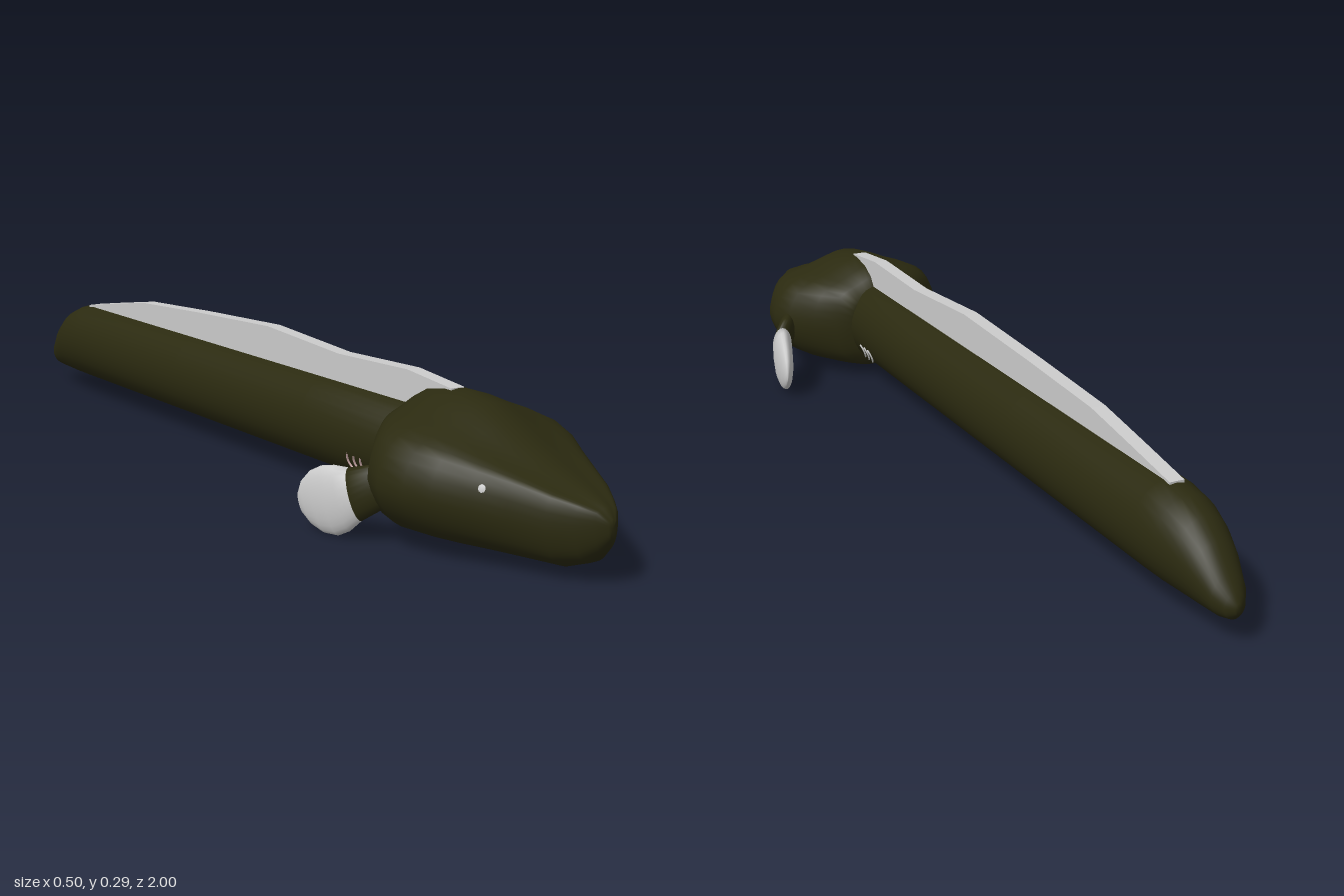
import * as THREE from 'three';

const CX = -0.014; // centre line of head and body

const dark = new THREE.MeshStandardMaterial({ color: 0x2b2a10 });
const grey = new THREE.MeshStandardMaterial({ color: 0xcccccc });
const pink = new THREE.MeshStandardMaterial({ color: 0xd8b4b4 });

// Skin a list of equal rings of Vector3 and close both ends
function loft(rings) {
  const n = rings[0].length, pos = [], idx = [];
  rings.forEach(r => r.forEach(p => pos.push(p.x, p.y, p.z)));
  for (let i = 0; i < rings.length - 1; i++)
    for (let j = 0; j < n; j++) {
      const a = i * n + j, b = i * n + (j + 1) % n;
      idx.push(a, a + n, b, b, a + n, b + n);
    }
  [0, rings.length - 1].forEach((i, end) => {
    const c = new THREE.Vector3();
    rings[i].forEach(p => c.addScaledVector(p, 1 / n));
    const k = pos.length / 3;
    pos.push(c.x, c.y, c.z);
    for (let j = 0; j < n; j++) {
      const a = i * n + j, b = i * n + (j + 1) % n;
      if (end) idx.push(k, b, a); else idx.push(k, a, b);
    }
  });
  const g = new THREE.BufferGeometry();
  g.setAttribute('position', new THREE.Float32BufferAttribute(pos, 3));
  g.setIndex(idx);
  g.computeVertexNormals();
  return g;
}

// Elliptical ring around c, spanned by e1 and e2
function ellipse(c, e1, e2, r1, r2, n = 28) {
  return Array.from({ length: n }, (_, j) => {
    const a = j / n * Math.PI * 2;
    return c.clone().addScaledVector(e1, Math.cos(a) * r1).addScaledVector(e2, Math.sin(a) * r2);
  });
}

// Head section: flat chin, bulging cheeks, shoulder, then a ridge on top
function headRing([z, w, b, s, t]) {
  const h = s - b;
  const half = [[0.42 * w, b + 0.02 * h], [0.82 * w, b + 0.2 * h], [w, b + 0.58 * h],
    [0.87 * w, s], [0.45 * w, s + 0.58 * (t - s)]];
  const pts = [[0, b], ...half, [0, t], ...half.map(([x, y]) => [-x, y]).reverse()]
    .map(([x, y]) => new THREE.Vector3(CX + x, y, z));
  const curve = new THREE.CatmullRomCurve3(pts, true);
  return Array.from({ length: 48 }, (_, i) => curve.getPoint(i / 48));
}

function add(parent, name, geometry, material) {
  const m = new THREE.Mesh(geometry, material);
  m.name = name;
  parent.add(m);
  return m;
}

export function createModel() {
  const model = new THREE.Group();
  model.name = 'eel';
  const X = new THREE.Vector3(1, 0, 0), Y = new THREE.Vector3(0, 1, 0);

  // Long body with tapered tail: z, half width, bottom, top
  const body = [[0.55, 0.074, 0.05, 0.23], [0.2, 0.075, 0.05, 0.23], [-0.3, 0.075, 0.05, 0.23],
    [-0.78, 0.075, 0.05, 0.23], [-0.84, 0.071, 0.05, 0.221], [-0.89, 0.06, 0.05, 0.202],
    [-0.93, 0.049, 0.05, 0.172], [-0.97, 0.035, 0.051, 0.127], [-0.99, 0.021, 0.055, 0.103],
    [-1, 0.007, 0.067, 0.088]];
  add(model, 'body', loft(body.map(([z, w, b, t]) =>
    ellipse(new THREE.Vector3(CX, (b + t) / 2, z), X, Y, w, (t - b) / 2))), dark);

  // Wedge-shaped head: z, half width, bottom, shoulder, top
  const head = [[1, 0.009, 0.095, 0.125, 0.13], [0.985, 0.027, 0.07, 0.14, 0.147],
    [0.96, 0.047, 0.045, 0.148, 0.157], [0.92, 0.076, 0.03, 0.158, 0.17],
    [0.86, 0.107, 0.028, 0.172, 0.19], [0.8, 0.14, 0.027, 0.184, 0.215],
    [0.74, 0.176, 0.026, 0.196, 0.244], [0.69, 0.198, 0.026, 0.201, 0.267],
    [0.63, 0.207, 0.025, 0.203, 0.277], [0.58, 0.19, 0.026, 0.205, 0.277],
    [0.53, 0.145, 0.028, 0.207, 0.268], [0.495, 0.105, 0.033, 0.207, 0.25],
    [0.47, 0.07, 0.06, 0.19, 0.215]];
  add(model, 'head', loft(head.map(headRing)), dark);

  // Dorsal fin strip
  const fin = new THREE.Shape();
  [[-0.8, 0.2], [0.6, 0.2], [0.6, 0.278], [0.47, 0.291], [0.25, 0.284], [0, 0.3],
    [-0.28, 0.288], [-0.53, 0.274], [-0.68, 0.25], [-0.8, 0.23]]
    .forEach(([z, y], i) => i ? fin.lineTo(-z, y) : fin.moveTo(-z, y));
  const finGeo = new THREE.ExtrudeGeometry(fin, { depth: 0.03, bevelEnabled: false });
  finGeo.translate(0, 0, -0.015).rotateY(Math.PI / 2);
  add(model, 'dorsalFin', finGeo, grey).position.x = CX - 0.002;

  // Paired side fins: dark root and grey paddle
  const up = new THREE.Vector3(0.06, 0.94, -0.33).normalize();
  const axis = new THREE.Vector3(0.34, -0.32, -0.9);
  axis.addScaledVector(up, -axis.dot(up)).normalize();
  const out = up.clone().cross(axis).negate();
  const finRing = ([x, y, z, thick, tall]) =>
    ellipse(new THREE.Vector3(x, y, z), out, up, thick, tall, 24);
  const root = [[0.165, 0.125, 0.61, 0.02, 0.035], [0.185, 0.112, 0.58, 0.021, 0.042],
    [0.207, 0.095, 0.547, 0.022, 0.05]];
  const paddle = [[0.207, 0.095, 0.547, 0.022, 0.05], [0.216, 0.083, 0.52, 0.022, 0.062],
    [0.224, 0.073, 0.493, 0.021, 0.066], [0.231, 0.065, 0.464, 0.018, 0.059],
    [0.237, 0.059, 0.439, 0.013, 0.042], [0.241, 0.055, 0.424, 0.006, 0.02],
    [0.242, 0.054, 0.42, 0.001, 0.004]];
  const rootGeo = loft(root.map(finRing)), paddleGeo = loft(paddle.map(finRing));

  for (const [side, s] of [['left', 1], ['right', -1]]) {
    const pectoral = new THREE.Group();
    pectoral.name = side + 'SideFin';
    pectoral.scale.x = s;
    model.add(pectoral);
    add(pectoral, side + 'FinRoot', rootGeo, dark);
    add(pectoral, side + 'FinPaddle', paddleGeo, grey);

    // Eye
    const eye = add(model, side + 'Eye', new THREE.SphereGeometry(1, 20, 14), grey);
    eye.scale.set(0.011, 0.019, 0.017);
    eye.position.set(CX + s * 0.117, 0.158, 0.81);
    eye.rotation.set(0, -s * 0.5, s * 0.4);

    // Three curved gill slits
    for (let i = 0; i < 3; i++) {
      const arc = new THREE.TorusGeometry(0.022, 0.002, 6, 12, 1.7);
      arc.rotateZ(-0.85).rotateY(Math.PI / 2);
      const gill = add(model, side + 'Gill' + (i + 1), arc, s > 0 ? grey : pink);
      gill.position.set(CX + s * 0.0725, 0.1, 0.425 - i * 0.021);
      gill.rotation.z = s * -0.4;
    }
  }
  return model;
}
